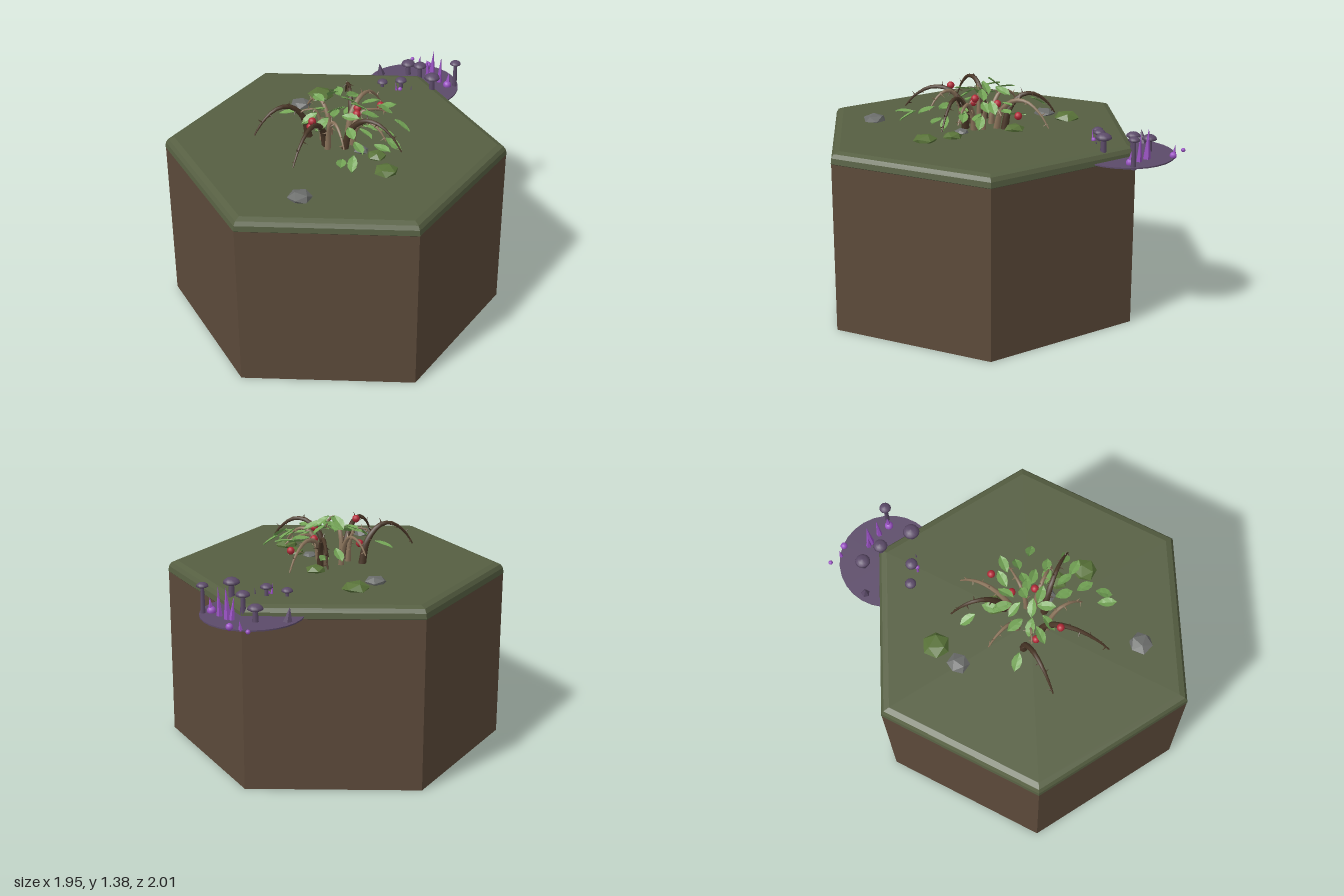
import * as THREE from 'three';

const mat = (name, color, side = THREE.FrontSide) => {
  const m = new THREE.MeshStandardMaterial({ color, side });
  m.name = name;
  return m;
};

// Gives every face its own normal
function flat(g) {
  const f = g.index ? g.toNonIndexed() : g;
  f.computeVertexNormals();
  return f;
}

// Tube along a curve, thinning from r0 to r1
function taperedTube(curve, r0, r1, segs = 14, sides = 6) {
  const g = new THREE.TubeGeometry(curve, segs, r0, sides);
  const p = g.attributes.position, v = new THREE.Vector3();
  for (let i = 0; i < p.count; i++) {
    const t = Math.floor(i / (sides + 1)) / segs;
    const c = curve.getPointAt(t);
    v.fromBufferAttribute(p, i).sub(c).multiplyScalar(1 + (r1 / r0 - 1) * t).add(c);
    p.setXYZ(i, v.x, v.y, v.z);
  }
  return g;
}

// Folded leaf lying along +z with a drooping tip
function leafGeometry() {
  const g = new THREE.PlaneGeometry(1, 1, 2, 4).rotateX(-Math.PI / 2);
  const p = g.attributes.position, widths = [0.12, 0.75, 1, 0.8, 0];
  for (let i = 0; i < p.count; i++) {
    const row = Math.floor(i / 3), side = (i % 3) - 1, t = row / 4;
    p.setXYZ(i, side * 0.029 * widths[row], Math.abs(side) * 0.008 - 0.014 * t * t, (t - 0.5) * 0.11);
  }
  return flat(g);
}

export function createModel() {
  const model = new THREE.Group();
  const earth = mat('earth', 0x5c4a3a), grass = mat('grass', 0x565f42);
  const fungus = mat('dusky purple', 0x5c4b69), crystal = mat('bright purple', 0x9a52c4);
  const leafMat = mat('leaf green', 0x74a556, THREE.DoubleSide), moss = mat('mossy stone', 0x597339);
  const stone = mat('grey stone', 0x6b6d6b), bark = mat('dark bark', 0x4b3828);
  const twig = mat('pale bark', 0x8c755c), red = mat('berry red', 0xb32a38);

  const add = (name, geo, material, x = 0, y = 0, z = 0, parent = model) => {
    const m = new THREE.Mesh(geo, material);
    m.name = name;
    m.position.set(x, y, z);
    parent.add(m);
    return m;
  };

  // Hexagonal block with a bevelled turf cap
  add('earthBlock', flat(new THREE.CylinderGeometry(1, 1, 1.02, 6)), earth, -0.11, 0.51, 0);
  const cap = [[0.99, 1.005], [1.003, 1.018], [0.998, 1.05], [0.982, 1.073], [0.945, 1.085], [0, 1.088]];
  add('turfCap', flat(new THREE.LatheGeometry(cap.map(([x, y]) => new THREE.Vector2(x, y)), 6)), grass, -0.11, 0, 0);

  // Stones half sunk in the turf: x, z, radius, material
  [[0.06, -0.53, 0.083, moss], [-0.01, 0.44, 0.073, moss], [0.02, 0.27, 0.06, moss], [0.09, -0.12, 0.065, moss],
    [-0.10, -0.48, 0.067, stone], [-0.56, 0.46, 0.072, stone], [-0.03, 0.175, 0.045, stone]
  ].forEach(([x, z, r, m], i) => {
    const s = add('stone', new THREE.IcosahedronGeometry(r, 0).rotateX(0.4 + i).rotateZ(i * 0.7), m, x, 1.092, z);
    s.scale.y = 0.48;
  });

  // Thorny arching branches: base x,z, tip x,z, peak height, tip height, radius, material
  const bush = new THREE.Group();
  bush.name = 'thornBush';
  model.add(bush);
  const branches = [
    [-0.22, -0.12, -0.56, -0.14, 1.32, 1.17, 0.024, bark],
    [-0.18, 0.02, -0.51, 0.27, 1.30, 1.16, 0.024, bark],
    [0.04, -0.08, 0.15, -0.37, 1.30, 1.17, 0.024, bark],
    [-0.10, 0.10, 0.11, 0.40, 1.31, 1.16, 0.024, bark],
    [0.00, -0.05, 0.31, -0.21, 1.28, 1.13, 0.022, twig],
    [-0.10, -0.08, -0.14, -0.30, 1.28, 1.19, 0.020, twig],
    [-0.19, 0.06, -0.20, 0.29, 1.31, 1.20, 0.021, twig],
    [-0.04, 0.08, 0.08, 0.27, 1.27, 1.17, 0.021, twig],
    [-0.17, -0.04, -0.28, -0.10, 1.30, 1.27, 0.018, twig],
    [-0.02, 0.03, 0.20, 0.05, 1.27, 1.22, 0.018, twig]
  ];
  const up = new THREE.Vector3(0, 1, 0);
  const thornGeo = flat(new THREE.ConeGeometry(0.006, 0.034, 4));
  branches.forEach(([x0, z0, x1, z1, peak, tip, r, m]) => {
    const at = (k, y) => new THREE.Vector3(x0 + (x1 - x0) * k, y, z0 + (z1 - z0) * k);
    const curve = new THREE.CatmullRomCurve3([
      at(0, 1.07), at(0.1, 1.07 + (peak - 1.07) * 0.6), at(0.35, peak - 0.01),
      at(0.6, peak - 0.01), at(0.85, (peak + tip) / 2), at(1, tip)]);
    add('branch', taperedTube(curve, r, 0.004), m, 0, 0, 0, bush);
    for (let i = 0; i < 7; i++) {
      const t = 0.3 + i * 0.108, tangent = curve.getTangentAt(t);
      const dir = new THREE.Vector3().crossVectors(tangent, up).normalize().applyAxisAngle(tangent, i * 2.2);
      const c = curve.getPointAt(t).addScaledVector(dir, r * (1 - t) + 0.012);
      add('thorn', thornGeo, m, c.x, c.y, c.z, bush).quaternion.setFromUnitVectors(up, dir);
    }
  });

  // Leaves pointing out from the middle: x, y, z
  const leafGeo = leafGeometry();
  const leaves = [
    [-0.31, 1.22, -0.22], [0.05, 1.23, -0.32], [-0.28, 1.20, 0.41], [-0.22, 1.19, 0.43], [-0.14, 1.23, 0.35],
    [0.00, 1.20, 0.37], [0.22, 1.21, 0.21], [0.22, 1.25, 0.03], [0.09, 1.22, 0.24], [0.08, 1.25, 0.08],
    [0.14, 1.27, -0.03], [0.17, 1.27, 0.09], [0.03, 1.24, 0.20], [-0.12, 1.25, 0.22], [-0.02, 1.34, 0.01],
    [-0.15, 1.32, 0.08], [-0.26, 1.26, -0.03], [-0.20, 1.29, -0.06], [-0.15, 1.32, -0.13], [-0.08, 1.35, -0.09],
    [-0.02, 1.33, -0.13], [0.04, 1.32, -0.07], [0.02, 1.31, 0.06], [-0.06, 1.28, 0.10], [-0.22, 1.25, 0.05],
    [0.08, 1.20, 0.14], [-0.05, 1.26, 0.27], [0.08, 1.20, 0.36], [0.06, 1.17, -0.16], [-0.11, 1.30, 0.01]
  ];
  leaves.forEach(([x, y, z], i) => {
    const leaf = add('leaf', leafGeo, leafMat, x, y, z, bush);
    leaf.rotation.set(0.15 + 0.35 * Math.sin(i * 2.4), Math.atan2(x + 0.09, z - 0.02) + 0.3 * Math.sin(i * 1.7),
      0.4 * Math.sin(i * 3.1), 'YXZ');
  });

  // Berries
  const berryGeo = new THREE.SphereGeometry(0.023, 12, 8);
  [[-0.295, 1.305, 0.08], [-0.015, 1.285, 0.09], [0.05, 1.25, -0.025], [0.22, 1.21, -0.055], [-0.245, 1.19, -0.05]]
    .forEach(([x, y, z]) => add('berry', berryGeo, red, x, y, z, bush));

  // Round fungus patch jutting past the corner
  const patch = new THREE.Group();
  patch.name = 'fungusPatch';
  model.add(patch);
  add('patchDisc', new THREE.CylinderGeometry(0.29, 0.29, 0.008, 28), fungus, 0.68, 1.027, -0.48, patch);

  // Mushrooms: x, z, cap radius, top height
  [[0.455, -0.46, 0.033, 1.135], [0.55, -0.395, 0.036, 1.155], [0.73, -0.62, 0.044, 1.13],
    [0.74, -0.49, 0.041, 1.17], [0.715, -0.295, 0.048, 1.188], [0.915, -0.35, 0.034, 1.205]
  ].forEach(([x, z, r, top]) => {
    const h = top - 1.03;
    add('mushroomStem', new THREE.CylinderGeometry(r * 0.3, r * 0.45, h, 8), fungus, x, 1.025 + h / 2 - 0.01, z, patch);
    const profile = [[0, 0.1], [0.7, -0.02], [1, 0.15], [0.9, 0.45], [0.55, 0.7], [0, 0.8]];
    add('mushroomCap', new THREE.LatheGeometry(profile.map(([a, b]) => new THREE.Vector2(a * r, b * r)), 14),
      fungus, x, top - r * 0.8, z, patch);
  });

  // Spikes: x, z, radius, top height, lean, material
  [[0.845, -0.51, 0.024, 1.215, 0.06, crystal], [0.82, -0.53, 0.018, 1.16, -0.1, crystal],
    [0.86, -0.44, 0.018, 1.2, 0.05, crystal], [0.875, -0.365, 0.022, 1.12, 0.1, crystal],
    [0.51, -0.38, 0.016, 1.145, -0.12, crystal], [0.86, -0.70, 0.012, 1.09, 0.15, crystal],
    [0.57, -0.70, 0.028, 1.11, -0.15, fungus], [0.59, -0.34, 0.012, 1.12, 0.1, fungus]
  ].forEach(([x, z, r, top, lean, m]) => {
    const h = top - 1.025;
    add('spike', flat(new THREE.ConeGeometry(r, h, 5)), m, x, 1.025 + h / 2, z, patch).rotation.z = -lean;
  });

  // Loose spores at the rim
  [[0.85, -0.775, 0.013], [0.9, -0.655, 0.021], [0.87, -0.365, 0.026], [0.53, -0.37, 0.014]].forEach(([x, z, r], i) =>
    add('spore', new THREE.SphereGeometry(r, 10, 7), crystal, x, i === 3 ? 1.09 : 1.04, z, patch));

  return model;
}
